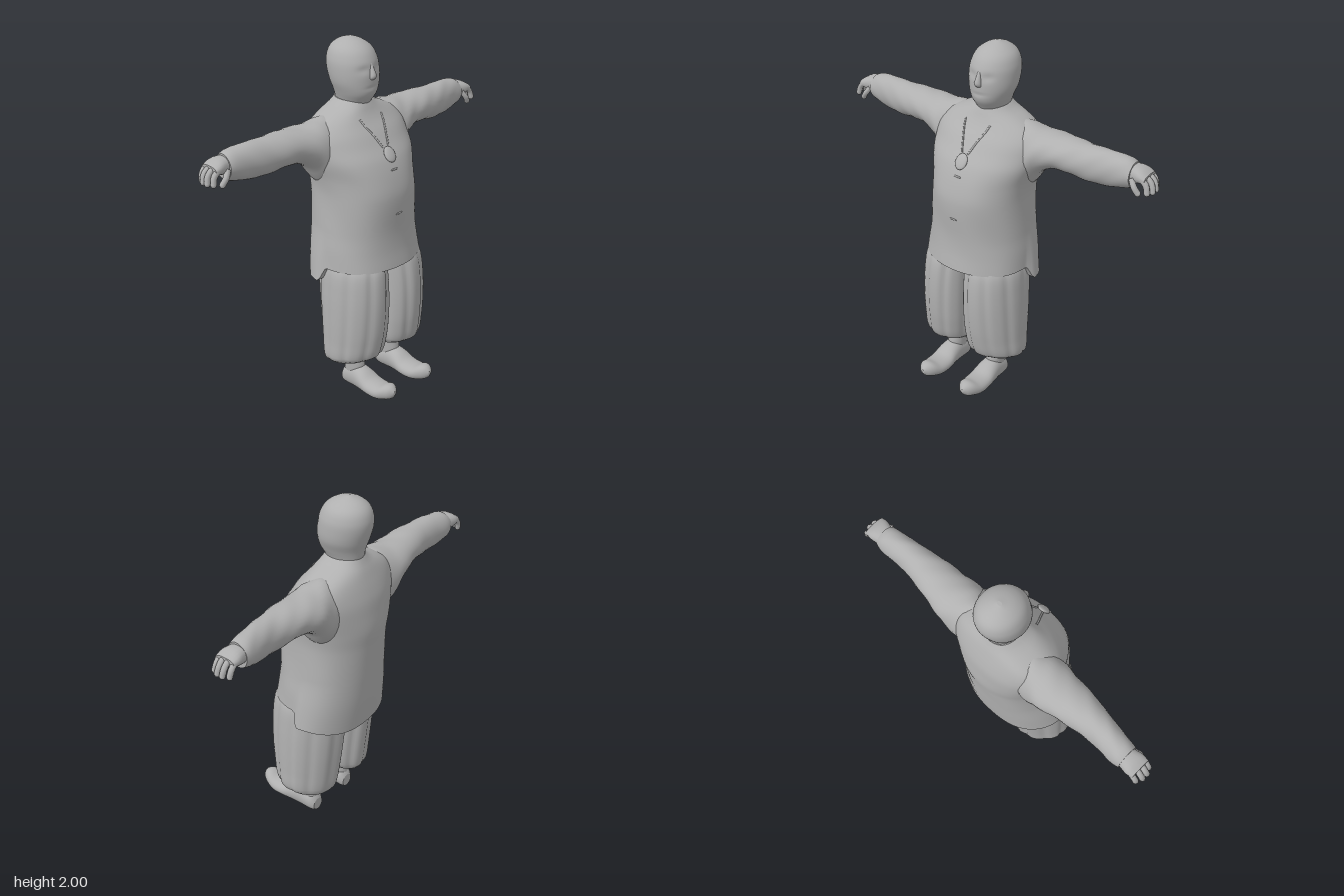
import * as THREE from 'three';
import { mergeGeometries } from 'three/addons/utils/BufferGeometryUtils.js';

const grey = new THREE.MeshStandardMaterial({ color: 0xb0b0b0, side: THREE.DoubleSide });
grey.name = 'plain grey';

// Smoothly interpolate a row of [t, aMin, aMax, bMin, bMax] sections
function sample(rows, t) {
  let k = 0;
  while (k < rows.length - 2 && t > rows[k + 1][0]) k++;
  const p = rows[k], q = rows[k + 1];
  const o = rows[Math.max(k - 1, 0)], r = rows[Math.min(k + 2, rows.length - 1)];
  const h = q[0] - p[0], s = Math.min(Math.max((t - p[0]) / h, 0), 1);
  return [1, 2, 3, 4].map((c) => {
    const m0 = (q[c] - o[c]) / (q[0] - o[0]) * h, m1 = (r[c] - p[c]) / (r[0] - p[0]) * h;
    return p[c] * (1 + 2 * s) * (1 - s) ** 2 + m0 * s * (1 - s) ** 2
      + q[c] * s * s * (3 - 2 * s) + m1 * s * s * (s - 1);
  });
}

const power = (v, e) => Math.sign(v) * Math.abs(v) ** (2 / e);
const place = {
  x: (t, a, b) => new THREE.Vector3(t, a, b), // a = y, b = z
  y: (t, a, b) => new THREE.Vector3(b, t, a), // a = z, b = x
  z: (t, a, b) => new THREE.Vector3(a, b, t), // a = x, b = y
};

// Closed skin through superellipse sections along an axis
function loft(axis, rows, { n = 36, rings = 30, e = 2, pleat = () => 0, move = () => {}, side = 1 } = {}) {
  const pos = [], idx = [], t0 = rows[0][0], t1 = rows[rows.length - 1][0];
  const add = (p) => pos.push(p.x * side, p.y, p.z);
  const tri = (a, b, c) => (side > 0 ? idx.push(a, b, c) : idx.push(a, c, b));
  const ring = (i) => {
    const t = t0 + (t1 - t0) * i / rings, [a0, a1, b0, b1] = sample(rows, t);
    for (let j = 0; j < n; j++) {
      const w = j / n * Math.PI * 2, k = 1 + pleat(w, t);
      const p = place[axis](t, (a0 + a1) / 2 + (a1 - a0) / 2 * k * power(Math.cos(w), e),
        (b0 + b1) / 2 + (b1 - b0) / 2 * k * power(Math.sin(w), e));
      move(p);
      add(p);
    }
  };
  for (let i = 0; i <= rings; i++) ring(i);
  for (let i = 0; i < rings; i++) for (let j = 0; j < n; j++) {
    const a = i * n + j, b = i * n + (j + 1) % n;
    tri(a, b, b + n); tri(a, b + n, a + n);
  }
  // End caps with their own vertices keep the rims crisp
  for (const i of [0, rings]) {
    const start = pos.length / 3;
    ring(i);
    const mid = new THREE.Vector3();
    for (let j = 0; j < n; j++) mid.add(new THREE.Vector3().fromArray(pos, (start + j) * 3));
    mid.divideScalar(n); mid.x *= side; add(mid);
    for (let j = 0; j < n; j++) {
      const a = start + j, b = start + (j + 1) % n;
      if (i) tri(a, b, start + n); else tri(b, a, start + n);
    }
  }
  const g = new THREE.BufferGeometry();
  g.setAttribute('position', new THREE.Float32BufferAttribute(pos, 3));
  g.setIndex(idx);
  g.computeVertexNormals();
  return g;
}

const JACKET = [
  [0.8, -0.3, 0.235, -0.308, 0.308], [0.9, -0.31, 0.22, -0.3, 0.3],
  [1.0, -0.315, 0.215, -0.287, 0.287], [1.2, -0.33, 0.221, -0.272, 0.272],
  [1.3, -0.338, 0.2, -0.28, 0.28], [1.4, -0.33, 0.158, -0.305, 0.305],
  [1.47, -0.32, 0.108, -0.31, 0.31], [1.53, -0.302, 0.066, -0.3, 0.3],
  [1.58, -0.283, 0.024, -0.26, 0.26], [1.62, -0.266, -0.003, -0.19, 0.19],
  [1.65, -0.25, -0.018, -0.125, 0.125], [1.68, -0.235, -0.035, -0.085, 0.088],
];

// Drop the back of the hem below the front, with a stepped slit at each side
function dropTail(p) {
  const low = Math.max(0, (1.0 - p.y) / 0.2);
  const back = THREE.MathUtils.smoothstep(-p.z, 0.025 + 0.03 * (1 - low), 0.065 + 0.03 * (1 - low));
  const outer = Math.min(1, Math.abs(p.x) / 0.3);
  p.x *= 1 + 0.1 * low * back;
  p.z += 0.018 * low * back * (1 - outer ** 3);
  p.y -= low * back * (0.13 - 0.05 * outer ** 3);
}

// Front of the jacket at a given x and y
function onChest(x, y, lift) {
  const [z0, z1, , half] = sample(JACKET, y);
  const c = (1 - Math.abs(x / half) ** 2.2) ** (1 / 2.2);
  return new THREE.Vector3(x, y, (z0 + z1) / 2 + (z1 - z0) / 2 * c + lift);
}

const tube = (points, r, steps) =>
  new THREE.TubeGeometry(new THREE.CatmullRomCurve3(points), steps, r, 8);

// Rounded finger following a few points
function finger(points, side, r) {
  const pts = points.map(([x, y, z]) => new THREE.Vector3(x * side, y, z));
  const tip = new THREE.SphereGeometry(r, 8, 6).translate(...pts[pts.length - 1].toArray());
  return mergeGeometries([tube(pts, r, 8), tip]);
}

export function createModel() {
  const root = new THREE.Group();
  root.name = 'robedFigure';
  const add = (name, geometry) => {
    const m = new THREE.Mesh(geometry, grey);
    m.name = name;
    root.add(m);
  };

  // Head with shallow eye sockets and mouth
  add('head', loft('y', [
    [1.61, -0.22, -0.06, -0.07, 0.08], [1.67, -0.235, -0.022, -0.08, 0.09],
    [1.72, -0.245, 0.01, -0.098, 0.11], [1.78, -0.265, 0.016, -0.118, 0.133],
    [1.85, -0.283, 0.012, -0.124, 0.138], [1.9, -0.283, -0.002, -0.118, 0.132],
    [1.95, -0.262, -0.035, -0.095, 0.108], [1.985, -0.215, -0.09, -0.05, 0.06],
    [2.0, -0.165, -0.145, -0.008, 0.018],
  ], {
    n: 48, rings: 44,
    move: (p) => {
      if (p.z < -0.1) return;
      const dent = (x, y, sx, sy) => Math.exp(-(((p.x - x) / sx) ** 2) - ((p.y - y) / sy) ** 2);
      p.z -= 0.008 * (dent(0.055, 1.855, 0.03, 0.02) + dent(-0.041, 1.855, 0.03, 0.02));
      p.z -= 0.005 * dent(0.007, 1.757, 0.04, 0.008);
    },
  }));
  add('nose', loft('y', [
    [1.795, -0.01, 0.012, -0.01, 0.024], [1.812, -0.01, 0.032, -0.014, 0.028],
    [1.83, -0.01, 0.033, -0.011, 0.025], [1.87, -0.02, 0.014, -0.004, 0.018],
    [1.89, -0.03, 0.0, 0.0, 0.014],
  ], { n: 16, rings: 12 }));

  // Jacket with dropped back hem
  add('jacket', loft('y', JACKET, {
    n: 112, rings: 60, e: 2.2, move: dropTail,
    pleat: (w, t) => 0.006 * Math.sin(w * 7 + t * 9) * Math.sin(t * 11),
  }));
  for (const y of [1.11, 1.35]) {
    const p = onChest(0, y, -0.001);
    add('toggle', new THREE.CapsuleGeometry(0.005, 0.035, 4, 8).rotateZ(Math.PI / 2).translate(p.x, p.y, p.z));
  }

  // Necklace with round pendant
  const pendant = new THREE.SphereGeometry(0.036, 20, 14).scale(1, 1.25, 0.35).rotateX(-0.6);
  add('pendant', pendant.translate(0, 1.425, 0.147));
  for (const s of [1, -1]) {
    const cord = [[0.08, 1.6], [0.07, 1.57], [0.045, 1.52], [0.02, 1.46]];
    add('necklaceCord', tube(cord.map(([x, y]) => onChest(x * s, y, 0.001)), 0.005, 16));
  }

  for (const side of [1, -1]) {
    const label = side > 0 ? 'left' : 'right';
    const up = side > 0 ? 0 : 0.016; // the right arm is held a little higher
    const raise = (p) => { p.y += up * Math.min(1, Math.max(0, (p.x - 0.25) * 3)); };

    // Sleeve with soft wrinkles, running into the shoulder
    add(label + 'Sleeve', loft('x', [
      [0.1, 1.3, 1.6, -0.23, -0.06], [0.2, 1.24, 1.61, -0.262, -0.02],
      [0.27, 1.275, 1.607, -0.275, -0.006], [0.33, 1.36, 1.598, -0.276, -0.012],
      [0.42, 1.405, 1.592, -0.262, -0.03], [0.52, 1.41, 1.595, -0.245, -0.04],
      [0.62, 1.395, 1.59, -0.225, -0.055], [0.72, 1.4, 1.592, -0.225, -0.075],
      [0.82, 1.418, 1.58, -0.228, -0.088], [0.85, 1.43, 1.565, -0.222, -0.095],
    ], {
      side, n: 32, rings: 44, move: raise,
      pleat: (w, t) => 0.03 * Math.sin(t * 38 + 2 * w) * Math.sin(w * 3 + t * 9),
    }));
    // Hand, palm down with curled fingers
    add(label + 'Hand', loft('x', [
      [0.8, 1.46, 1.55, -0.21, -0.115], [0.86, 1.465, 1.557, -0.22, -0.105],
      [0.9, 1.475, 1.55, -0.226, -0.097], [0.935, 1.485, 1.53, -0.218, -0.1],
    ], { side, n: 20, rings: 10, e: 2.3, move: raise }));
    [-0.207, -0.175, -0.143, -0.113].forEach((z, i) => {
      const reach = i === 0 || i === 3 ? -0.015 : 0;
      add(label + 'Finger', finger([[0.9, 1.515 + up, z], [0.935 + reach, 1.505 + up, z],
        [0.957 + reach, 1.48 + up, z], [0.966 + reach, 1.447 + up, z + 0.004]], side, 0.016));
    });
    add(label + 'Thumb', finger([[0.86, 1.5 + up, -0.11], [0.885, 1.465 + up, -0.095],
      [0.905, 1.435 + up, -0.1]], side, 0.016));

    // Baggy pleated trouser leg, rounded at the outside, hem lower at the back
    add(label + 'TrouserLeg', loft('y', [
      [0.215, -0.152, 0.165, 0.03, 0.295], [0.24, -0.17, 0.2, 0.006, 0.322],
      [0.35, -0.19, 0.225, -0.008, 0.324], [0.5, -0.21, 0.24, -0.014, 0.322],
      [0.65, -0.225, 0.24, -0.015, 0.315], [0.78, -0.23, 0.223, -0.015, 0.3],
      [0.84, -0.22, 0.195, -0.015, 0.27],
    ], {
      side, n: 80, rings: 28, e: 2.2,
      pleat: (w, t) => -0.05 * Math.abs(Math.sin(w * 4.5 + 0.5 * t)) ** 6 * (t < 0.23 ? 0.3 : 1),
      move: (p) => {
        p.z *= 1 - (p.z > 0 ? 0.25 : 0.4) * Math.max(0, p.x / 0.32) ** 2.5;
        p.y += 0.13 * p.z * Math.max(0, 1 - (p.y - 0.215) * 5);
      },
    }));

    // Ankle and slipper with an upturned toe
    add(label + 'Ankle', loft('y', [
      [0.04, -0.045, 0.07, 0.095, 0.185], [0.13, -0.045, 0.085, 0.09, 0.19],
      [0.2, -0.035, 0.076, 0.085, 0.195], [0.3, -0.04, 0.08, 0.08, 0.2],
    ], { side, n: 24, rings: 12 }));
    add(label + 'Shoe', loft('z', [
      [-0.055, 0.1, 0.175, 0.005, 0.08], [-0.035, 0.088, 0.19, 0.0, 0.115],
      [0.05, 0.082, 0.2, 0.004, 0.15], [0.11, 0.076, 0.208, 0.01, 0.138],
      [0.17, 0.07, 0.213, 0.014, 0.107], [0.24, 0.073, 0.212, 0.018, 0.108],
      [0.29, 0.088, 0.198, 0.032, 0.128], [0.325, 0.112, 0.176, 0.052, 0.12],
      [0.34, 0.135, 0.152, 0.075, 0.1],
    ], { side, n: 28, rings: 28, e: 2.1 }));
  }
  return root;
}
